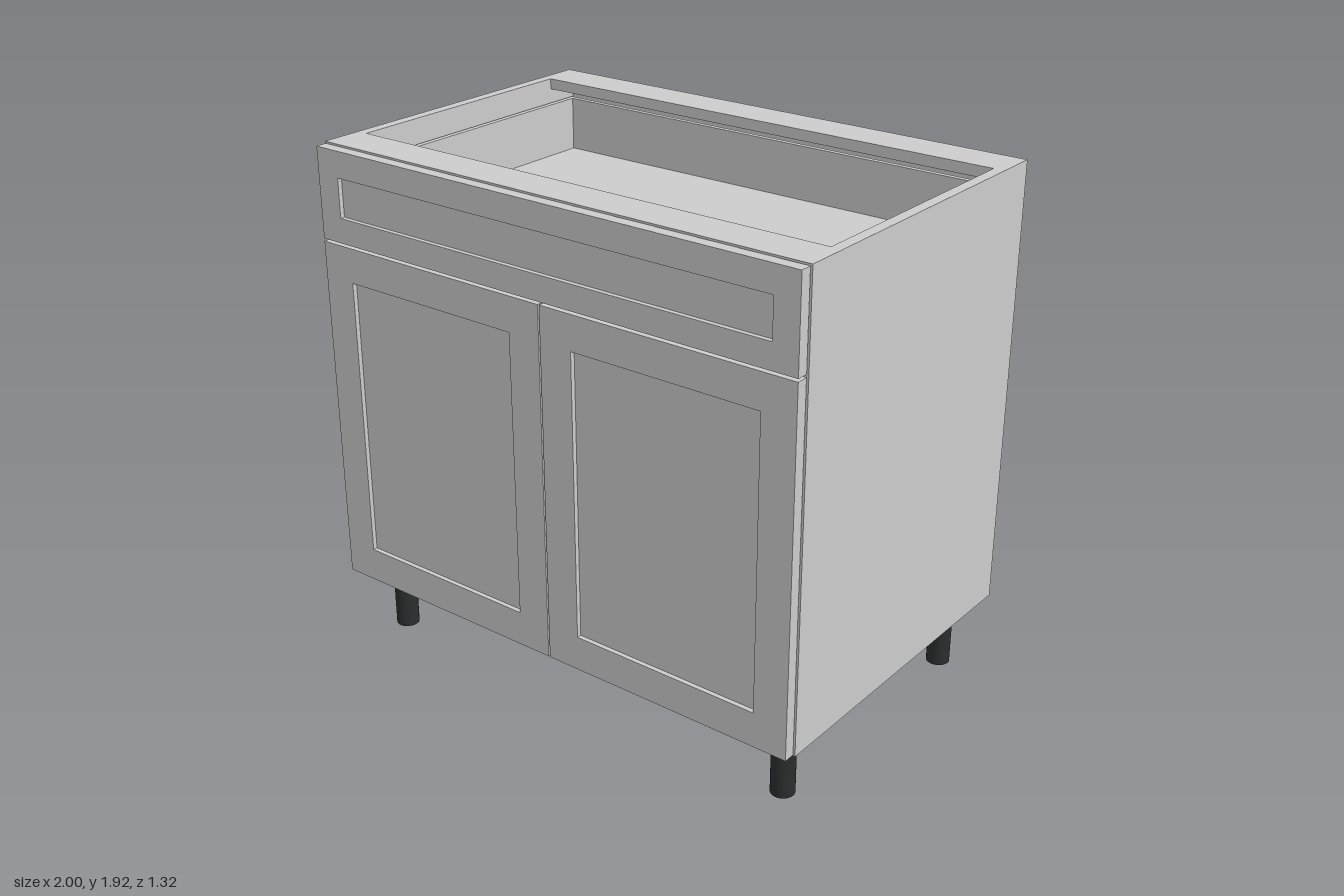
import * as THREE from 'three';

const grey = new THREE.MeshStandardMaterial({ color: 0xcccccc });
const dark = new THREE.MeshStandardMaterial({ color: 0x2b2e2e });

// Box given by its lower and upper bounds on each axis
function box(name, [x0, x1], [y0, y1], [z0, z1]) {
  const mesh = new THREE.Mesh(new THREE.BoxGeometry(x1 - x0, y1 - y0, z1 - z0), grey);
  mesh.name = name;
  mesh.position.set((x0 + x1) / 2, (y0 + y1) / 2, (z0 + z1) / 2);
  return mesh;
}

function rectangle(target, [x0, x1], [y0, y1]) {
  target.moveTo(x0, y0);
  target.lineTo(x1, y0);
  target.lineTo(x1, y1);
  target.lineTo(x0, y1);
  target.closePath();
  return target;
}

// Framed front with a recessed centre panel
function framedFront(name, xs, ys, innerXs, innerYs) {
  const group = new THREE.Group();
  group.name = name;
  const shape = rectangle(new THREE.Shape(), xs, ys);
  shape.holes.push(rectangle(new THREE.Path(), innerXs, innerYs));
  const frame = new THREE.Mesh(
    new THREE.ExtrudeGeometry(shape, { depth: 0.042, bevelEnabled: false }), grey);
  frame.name = name + 'Frame';
  frame.position.z = 0.62;
  group.add(frame, box(name + 'Panel', innerXs, innerYs, [0.62, 0.645]));
  return group;
}

export function createModel() {
  const model = new THREE.Group();
  model.name = 'baseCabinet';

  // Carcass
  const carcass = new THREE.Group();
  carcass.name = 'carcass';
  const inner = [-0.96, 0.96];
  carcass.add(
    box('rightSide', [-1, -0.96], [0.255, 1.92], [-0.662, 0.617]),
    box('leftSide', [0.96, 1], [0.255, 1.92], [-0.662, 0.617]),
    box('bottom', inner, [0.255, 0.295], [-0.635, 0.617]),
    box('back', inner, [0.255, 1.88], [-0.662, -0.635]),
    box('backStretcher', inner, [1.88, 1.92], [-0.662, -0.505]),
    box('frontStretcher', inner, [1.88, 1.92], [0.463, 0.617]));
  model.add(carcass);

  // Drawer box behind the upper front
  const drawer = new THREE.Group();
  drawer.name = 'drawer';
  const drawerY = [1.6, 1.83];
  drawer.add(
    box('drawerRightSide', [-0.949, -0.928], drawerY, [-0.615, 0.617]),
    box('drawerLeftSide', [0.928, 0.949], drawerY, [-0.615, 0.617]),
    box('drawerBack', [-0.928, 0.928], drawerY, [-0.615, -0.595]),
    box('drawerInnerFront', [-0.928, 0.928], drawerY, [0.597, 0.617]),
    box('drawerBottom', [-0.928, 0.928], [1.61, 1.63], [-0.595, 0.597]));
  model.add(drawer);

  // Drawer front and pair of doors
  model.add(
    framedFront('drawerFront', [-0.994, 0.994], [1.583, 1.914], [-0.9, 0.9], [1.675, 1.818]),
    framedFront('rightDoor', [-0.994, -0.003], [0.261, 1.573], [-0.865, -0.132], [0.39, 1.445]),
    framedFront('leftDoor', [0.003, 0.994], [0.261, 1.573], [0.132, 0.865], [0.39, 1.445]));

  // Legs
  for (const x of [-0.88, 0.88]) {
    for (const z of [-0.522, 0.5]) {
      const leg = new THREE.Mesh(new THREE.CylinderGeometry(0.043, 0.043, 0.255, 32), dark);
      leg.name = 'leg';
      leg.position.set(x, 0.1275, z);
      model.add(leg);
    }
  }
  return model;
}
